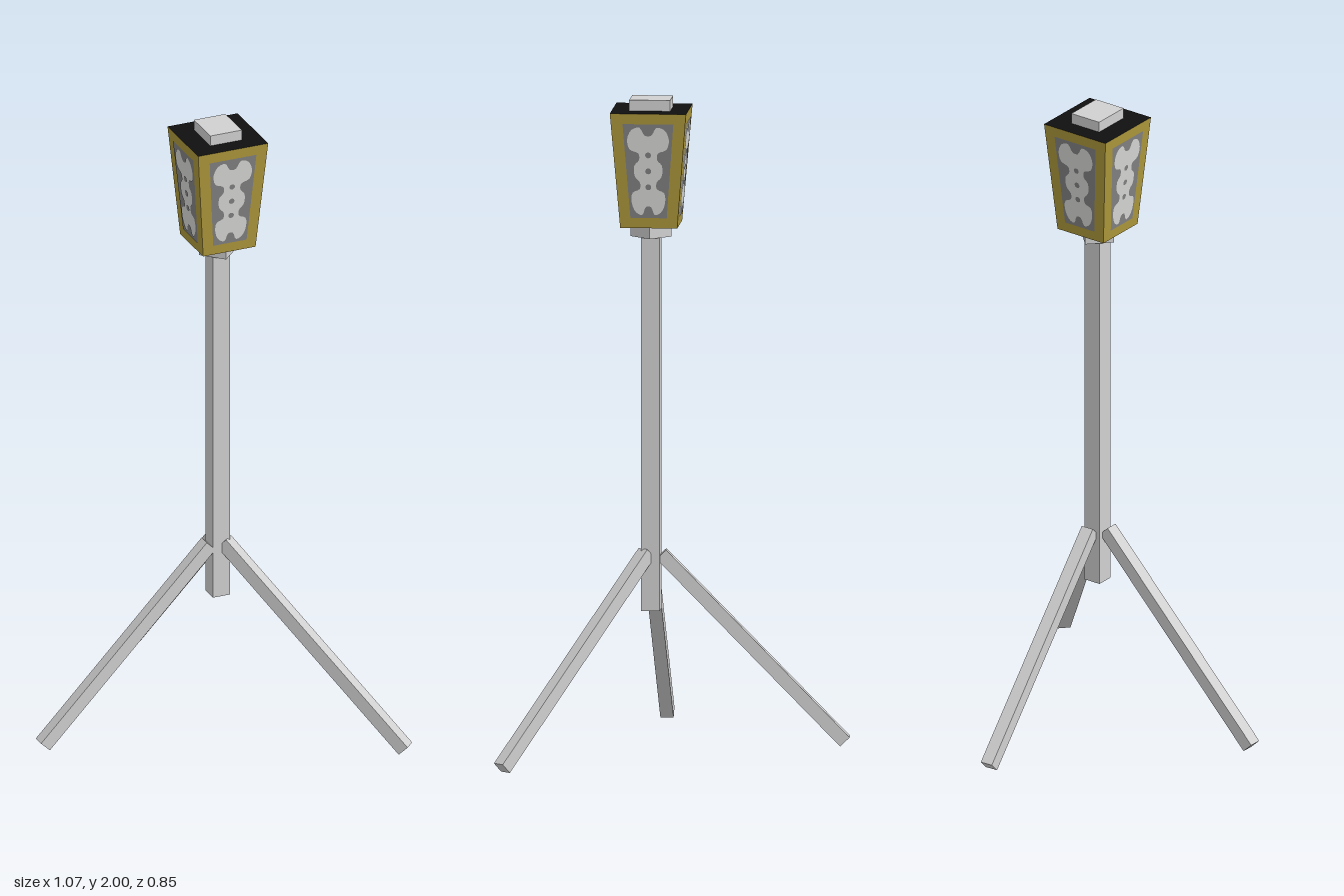
import * as THREE from 'three';

const mat = (name, color, extra = {}) =>
  Object.assign(new THREE.MeshStandardMaterial({ color, flatShading: true, ...extra }), { name });

export function createModel() {
  const model = new THREE.Group();
  model.name = 'tripodLantern';
  const metal = mat('paleMetal', 0xd0d0d0);
  const gold = mat('goldFrame', 0xae983c);
  const black = mat('black', 0x101010);
  const grey = mat('greyPane', 0x828282);
  const light = mat('lightPattern', 0xd8d8d6);

  const CX = -0.081, CZ = -0.01;
  const add = (parent, name, geometry, material, x = 0, y = 0, z = 0) => {
    const mesh = new THREE.Mesh(geometry, material);
    mesh.name = name;
    mesh.position.set(x, y, z);
    parent.add(mesh);
    return mesh;
  };

  // Square pole standing corner-on, with a straight collar above it
  add(model, 'pole', new THREE.BoxGeometry(0.0566, 1.14, 0.0566), metal, CX, 1.01, CZ)
    .rotation.y = Math.PI / 4;
  add(model, 'collar', new THREE.BoxGeometry(0.088, 0.037, 0.088), metal, CX, 1.5965, CZ);

  // Three splayed square legs
  const legs = [
    ['leftLeg', [-0.062, 0.615, -0.011], [0.52, 0.015, -0.026]],
    ['frontLeg', [-0.1, 0.612, 0.018], [-0.488, 0.043, 0.399]],
    ['backLeg', [-0.1, 0.612, -0.036], [-0.513, 0.043, -0.405]],
  ];
  for (const [name, a, b] of legs) {
    const from = new THREE.Vector3(...a), to = new THREE.Vector3(...b);
    const leg = add(model, name, new THREE.BoxGeometry(0.04, 0.04, from.distanceTo(to)), metal);
    leg.position.copy(from).lerp(to, 0.5);
    leg.lookAt(to);
  }

  // Tapered lantern body: gold sides, black top and bottom
  const lantern = new THREE.Group();
  lantern.name = 'lantern';
  lantern.position.set(CX, 1.791, CZ);
  model.add(lantern);
  const H = 0.352, topR = 0.163, botR = 0.122;
  add(lantern, 'body', new THREE.CylinderGeometry(topR, botR, H, 4), [gold, black, black]);
  add(lantern, 'cap', new THREE.BoxGeometry(0.124, 0.033, 0.104), metal, 0, H / 2 + 0.0165, 0)
    .rotation.y = -Math.PI / 4;

  // Trapezoid pane; u and v run from -1 to 1 across it
  const halfV = 0.145;
  const at = (u, v) => new THREE.Vector2(u * (0.066 + 0.011 * v), v * halfV);
  const pane = new THREE.ShapeGeometry(
    new THREE.Shape([at(-1, -1), at(1, -1), at(1, 1), at(-1, 1)]));

  // Lobed pattern: one quarter outline mirrored both ways
  const quarter = [[0.62, 0.12], [0.4, 0.24], [0.42, 0.38], [0.78, 0.46], [0.86, 0.68],
    [0.66, 0.88], [0.34, 0.93], [0.13, 0.76]];
  const back = [...quarter].reverse();
  const outline = [
    ...quarter,
    ...back.map(([u, v]) => [-u, v]),
    ...quarter.map(([u, v]) => [-u, -v]),
    ...back.map(([u, v]) => [u, -v]),
  ].map(([u, v]) => at(u, v));
  const loop = new THREE.CatmullRomCurve3(
    outline.map((p) => new THREE.Vector3(p.x, p.y, 0)), true);
  const pattern = new THREE.Shape(
    loop.getPoints(96).slice(0, -1).map((p) => new THREE.Vector2(p.x, p.y)));
  for (const [u, v] of [[0, 0.34], [0, -0.34], [0, 0]]) {
    const c = at(u, v);
    pattern.holes.push(new THREE.Path().absarc(c.x, c.y, 0.009, 0, Math.PI * 2, true));
  }
  const patternGeometry = new THREE.ShapeGeometry(pattern, 8);

  // The same window on each of the four leaning sides
  const tilt = Math.atan((topR - botR) * Math.SQRT1_2 / H);
  for (let i = 0; i < 4; i++) {
    const side = new THREE.Group();
    side.name = 'window' + (i + 1);
    side.rotation.y = Math.PI / 4 + i * Math.PI / 2;
    lantern.add(side);
    const face = new THREE.Group();
    face.name = 'windowFace';
    face.position.z = (topR + botR) / 2 * Math.SQRT1_2;
    face.rotation.x = tilt;
    side.add(face);
    add(face, 'pane', pane, grey, 0, 0, 0.0015);
    add(face, 'panePattern', patternGeometry, light, 0, 0, 0.003);
  }
  return model;
}
